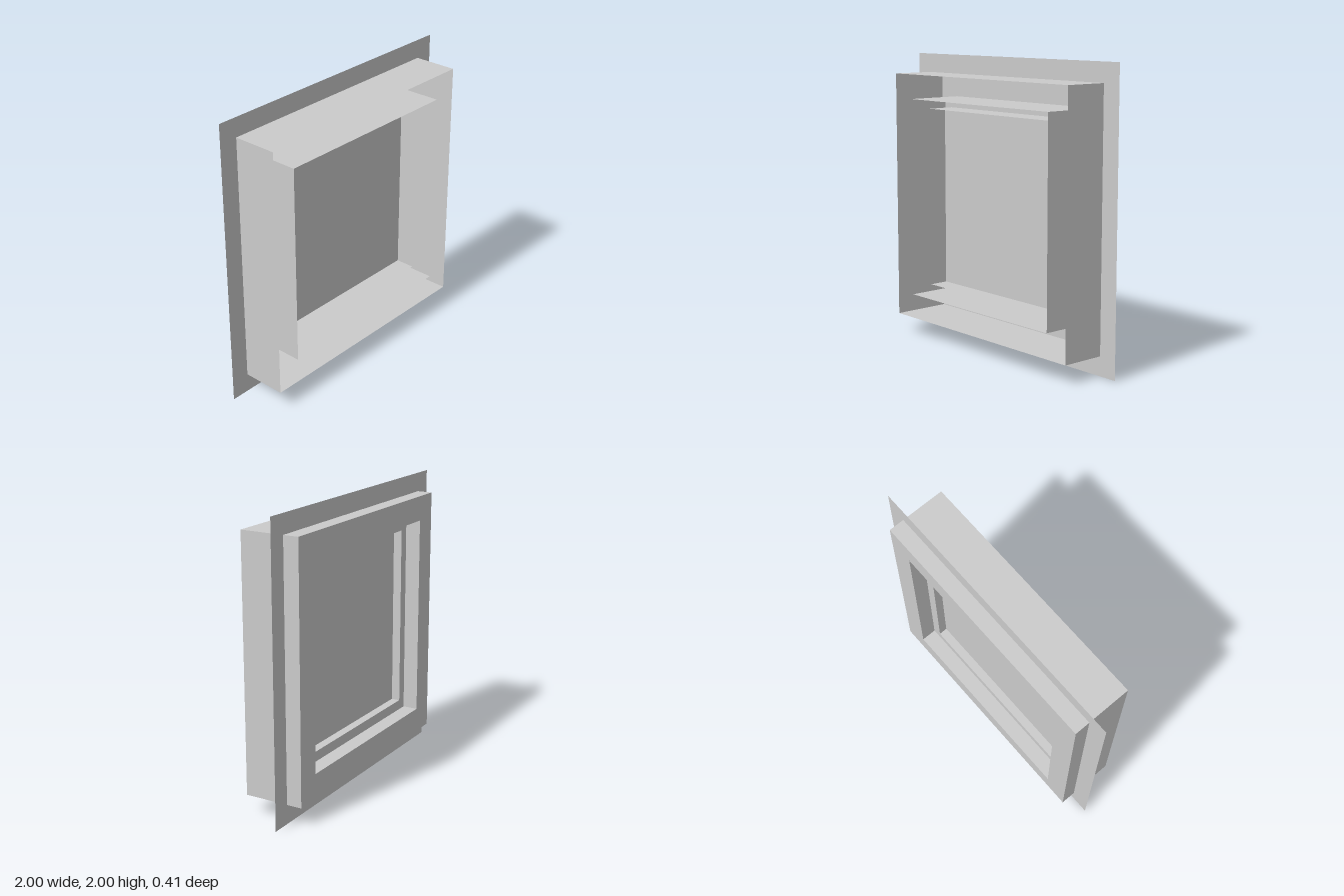
import * as THREE from 'three';

const material = new THREE.MeshStandardMaterial({
  color: 0xcccccc, flatShading: true, side: THREE.DoubleSide,
});

// Square sheet swept around the z axis; profile points are [half width, z].
function squareSheet(name, profile) {
  const points = profile.map(([half, z]) => new THREE.Vector2(half * Math.SQRT2, z));
  const indexed = new THREE.LatheGeometry(points, 4, Math.PI / 4);
  const geometry = indexed.toNonIndexed();
  geometry.rotateX(Math.PI / 2);
  geometry.computeVertexNormals();
  const mesh = new THREE.Mesh(geometry, material);
  mesh.name = name;
  return mesh;
}

export function createModel() {
  const FRONT = 0.207, BACK = -0.207, FLANGE = -0.1;
  const OUTER = 0.868, INNER = 0.697, SASH = 0.628;

  const model = new THREE.Group();
  model.name = 'windowFrame';

  // Thin mounting flange around the frame
  model.add(squareSheet('flange', [[1, FLANGE], [OUTER, FLANGE]]));

  // Frame channel: open at the front, closed at the back
  model.add(squareSheet('frameChannel', [
    [OUTER, FRONT], [OUTER, BACK], [INNER, BACK], [INNER, FRONT],
  ]));

  // Sash: rear lip joined to the frame, with a shallow open sleeve
  model.add(squareSheet('sash', [[INNER, FLANGE], [SASH, FLANGE], [SASH, 0.097]]));

  // Pane set inside the sash
  const pane = new THREE.Mesh(new THREE.PlaneGeometry(SASH * 2, SASH * 2), material);
  pane.name = 'pane';
  pane.position.z = -0.04;
  model.add(pane);

  // Stand the frame on the ground
  for (const part of model.children) part.position.y = 1;
  return model;
}
